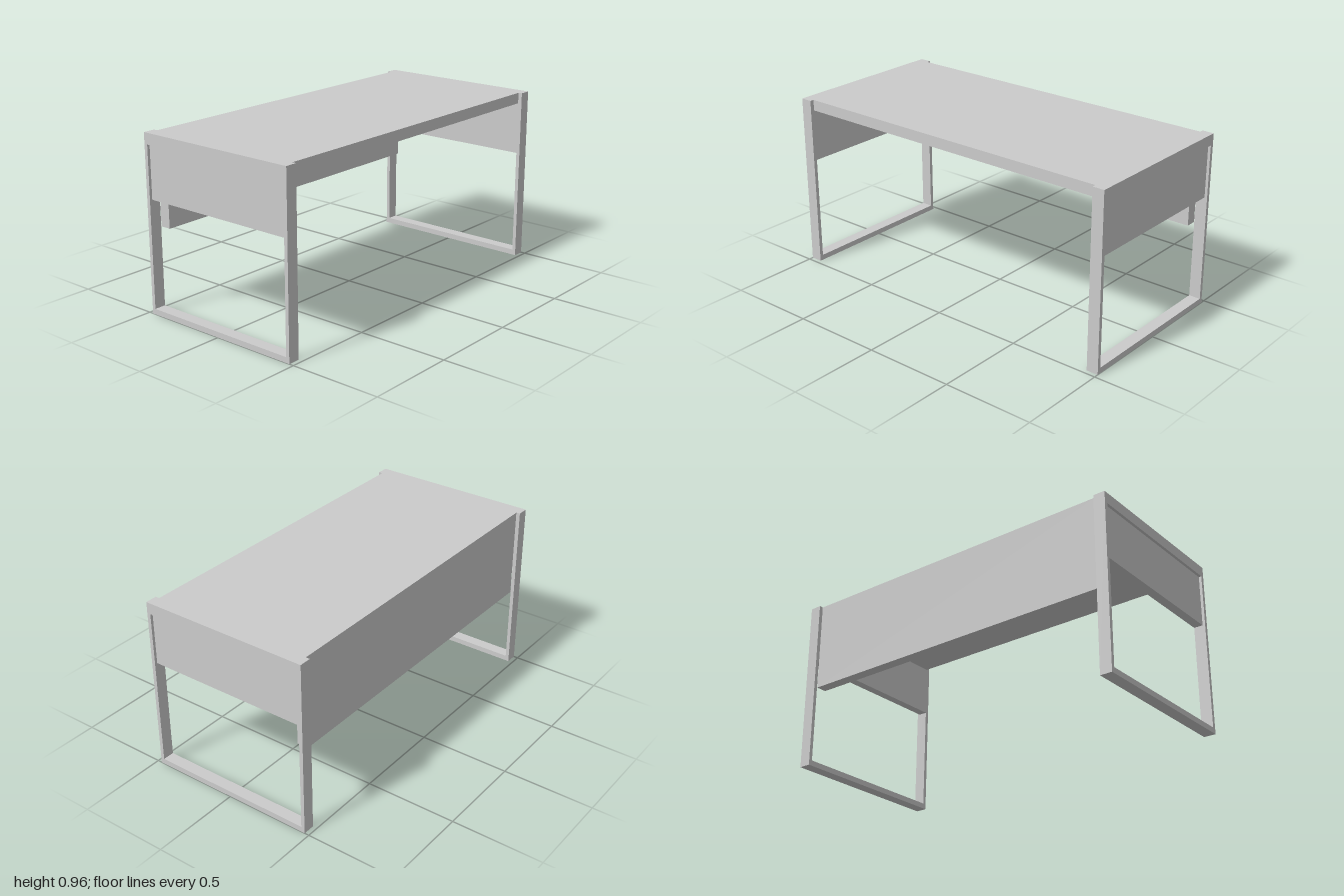
import * as THREE from 'three';

const material = new THREE.MeshStandardMaterial({ color: 0xcccccc, flatShading: true });

// Closed shape from corner points; the first axis runs towards the back (-z)
function outline(points, Type = THREE.Shape) {
  return new Type(points.map(([back, y]) => new THREE.Vector2(back, y)));
}

function rectangle(halfDepth, bottom, top) {
  return [[-halfDepth, bottom], [halfDepth, bottom], [halfDepth, top], [-halfDepth, top]];
}

// Extrudes a side profile along x, centred on its own origin
function sideExtrusion(name, shape, width) {
  const geometry = new THREE.ExtrudeGeometry(shape, { depth: width, bevelEnabled: false });
  geometry.translate(0, 0, -width / 2);
  geometry.rotateY(Math.PI / 2);
  const mesh = new THREE.Mesh(geometry, material);
  mesh.name = name;
  return mesh;
}

export function createModel() {
  const desk = new THREE.Group();
  desk.name = 'desk';

  // Desktop and back modesty panel share one L-shaped profile
  const lProfile = outline([
    [-0.453, 0.9], [0.392, 0.9], [0.392, 0.46],
    [0.453, 0.46], [0.453, 0.96], [-0.453, 0.96],
  ]);
  desk.add(sideExtrusion('desktopWithBackPanel', lProfile, 1.87));

  for (const side of [-1, 1]) {
    const name = side > 0 ? 'left' : 'right';

    // Closed loop leg frame: deep top rail, slim legs and floor rail
    const loop = outline(rectangle(0.475, 0, 0.96));
    loop.holes.push(outline(rectangle(0.455, 0.03, 0.9), THREE.Path));
    const frame = sideExtrusion(name + 'LegFrame', loop, 0.065);
    frame.position.x = side * 0.9675;

    // Side panel set just inside the outer face of the frame
    const panel = sideExtrusion(name + 'SidePanel', outline(rectangle(0.455, 0.612, 0.9)), 0.05);
    panel.position.x = side * 0.96;

    desk.add(frame, panel);
  }
  return desk;
}
